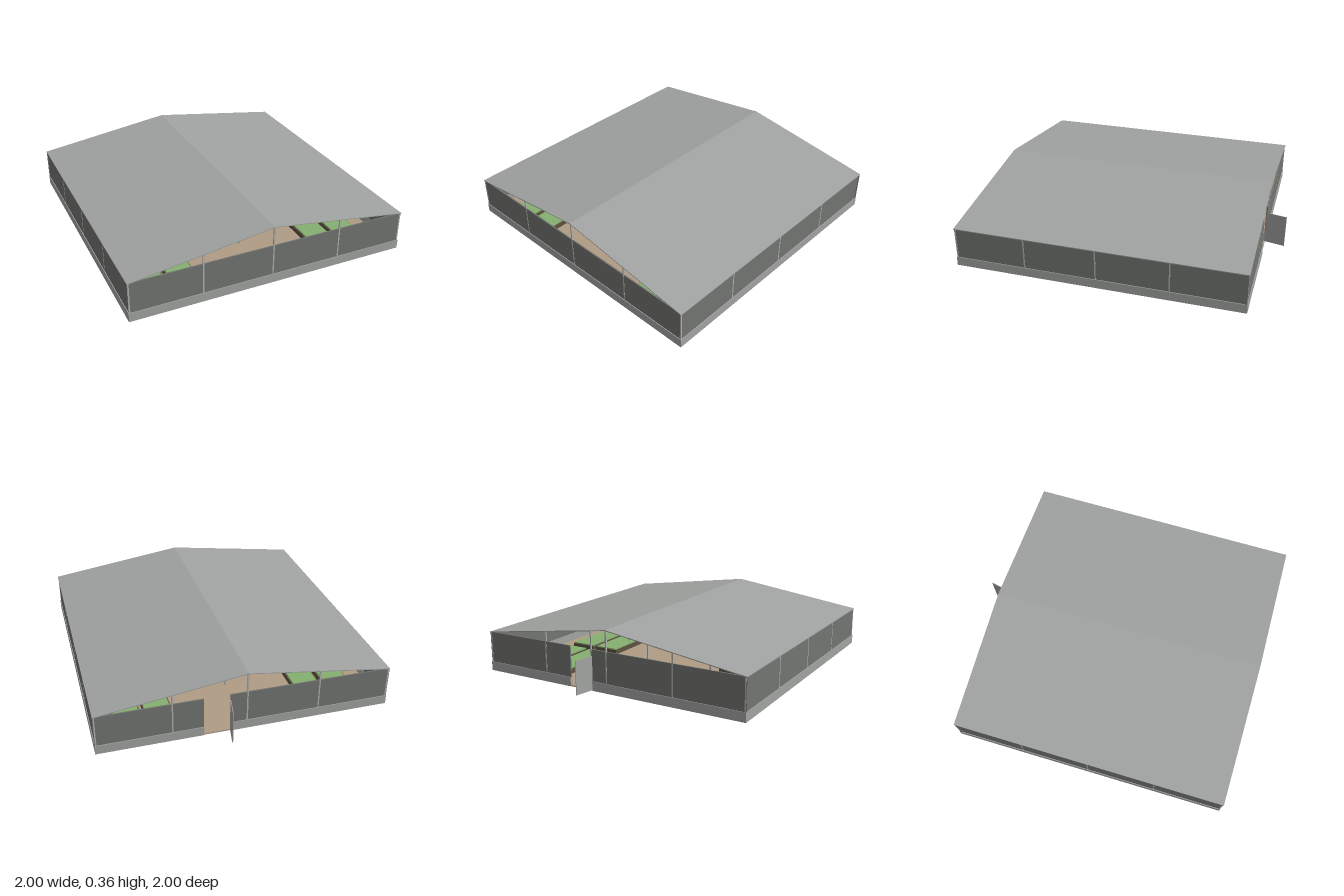
import * as THREE from 'three';

const W = 0.84, D = 0.835;           // half width and half depth
const BASE = 0.055, EAVE = 0.24, RIDGE = 0.36;

const mat = (name, color, side = THREE.FrontSide) => {
  const m = new THREE.MeshStandardMaterial({ color, side });
  m.name = name;
  return m;
};

export function createModel() {
  const concrete = mat('concrete grey', 0xa2a4a2);
  const roofing = mat('roof grey', 0xa0a3a1, THREE.DoubleSide);
  const cladding = mat('wall grey', 0x727571);
  const steel = mat('post grey', 0xb0b2b0);
  const earth = mat('tan earth', 0xb09c84);
  const timber = mat('bed edge brown', 0x5c5142);
  const leaf = mat('crop green', 0x86b070);

  const hall = new THREE.Group();
  hall.name = 'greenhouse';

  // box given by its two opposite corners
  const box = (name, material, x0, x1, y0, y1, z0, z1, parent = hall) => {
    const mesh = new THREE.Mesh(new THREE.BoxGeometry(x1 - x0, y1 - y0, z1 - z0), material);
    mesh.position.set((x0 + x1) / 2, (y0 + y1) / 2, (z0 + z1) / 2);
    mesh.name = name;
    parent.add(mesh);
    return mesh;
  };

  // floor
  box('floor', earth, -W + 0.005, W - 0.005, 0, 0.008, -D + 0.005, D - 0.005);

  // perimeter plinth with slimmer wall above; the back has a doorway
  const doorL = 0.095, doorR = 0.245;
  const wallRun = (name, x0, x1, z0, z1, inX, inZ) => {
    box(name + 'Plinth', concrete, x0, x1, 0.001, BASE, z0, z1);
    box(name + 'Wall', cladding, x0 + inX, x1 - inX, BASE, EAVE - 0.002, z0 + inZ, z1 - inZ);
  };
  const T = 0.016, IN = 0.004;
  wallRun('front', -W, W, D - T, D, IN, IN);
  wallRun('backLeft', doorR, W, -D, -D + T, 0, IN);
  wallRun('backRight', -W, doorL, -D, -D + T, 0, IN);
  wallRun('left', W - T, W, -D, D, IN, IN);
  wallRun('right', -W, -W + T, -D, D, IN, IN);

  // post grid carrying the roof
  const P = 0.004;
  for (let i = -2; i <= 2; i++) {
    for (let j = -2; j <= 2; j++) {
      const x = i * 0.418, z = j * 0.4155;
      const px = Math.sign(i) * Math.min(Math.abs(x), W - IN - P + 0.001);
      const pz = Math.sign(j) * Math.min(Math.abs(z), D - IN - P + 0.001);
      const top = RIDGE - (RIDGE - EAVE) * Math.abs(px) / W - 0.005;
      box('post', steel, px - P, px + P, 0.002, top, pz - P, pz + P);
    }
  }

  // shallow gable roof, open at both ends
  const t = 0.005;
  const profile = new THREE.Shape([
    [-W, EAVE - t], [0, RIDGE - t], [W, EAVE - t], [W, EAVE], [0, RIDGE], [-W, EAVE],
  ].map(([x, y]) => new THREE.Vector2(x, y)));
  const roof = new THREE.Mesh(
    new THREE.ExtrudeGeometry(profile, { depth: 2 * D, bevelEnabled: false }), roofing);
  roof.position.z = -D;
  roof.name = 'roof';
  hall.add(roof);

  // raised planting beds either side of the central aisle
  for (const s of [-1, 1]) {
    for (const cx of [0.45, 0.63]) {
      for (const cz of [-0.5, 0, 0.5]) {
        const x = s * cx;
        box('bedFrame', timber, x - 0.08, x + 0.08, 0.008, 0.036, cz - 0.22, cz + 0.22);
        box('crop', leaf, x - 0.073, x + 0.073, 0.036, 0.042, cz - 0.213, cz + 0.213);
      }
    }
  }

  // door standing open, hinged at the edge of the doorway
  const hinge = new THREE.Group();
  hinge.name = 'door';
  hinge.position.set(doorL, 0, -D + 0.008);
  hinge.rotation.y = -0.19;
  box('doorPanel', concrete, -0.002, 0.002, 0.005, 0.2, -0.122, 0, hinge);
  hall.add(hinge);

  // the building sits turned on its plot
  hall.rotation.y = -0.219;
  const model = new THREE.Group();
  model.name = 'greenhouseModel';
  model.add(hall);
  return model;
}
